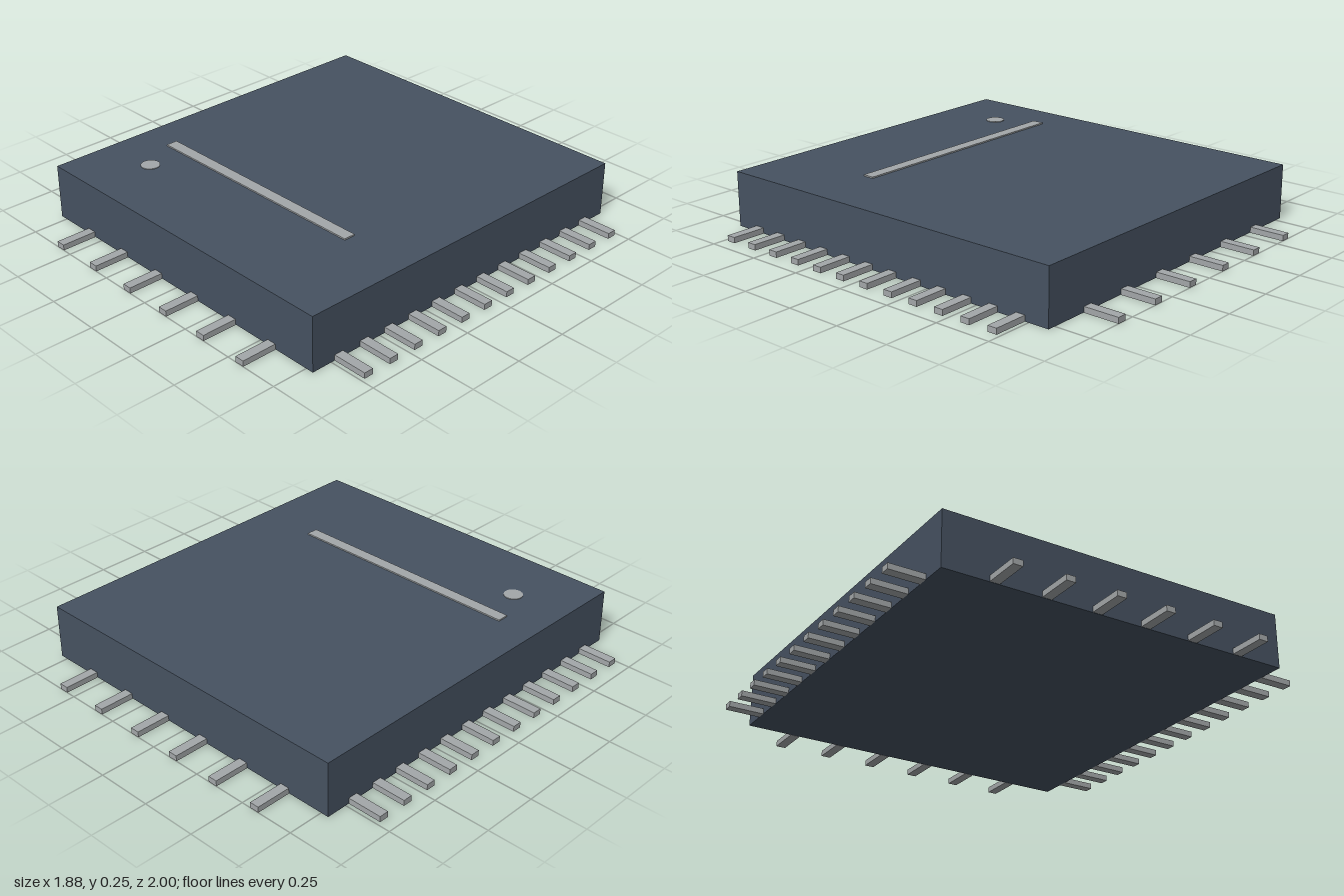
import * as THREE from 'three';

export function createModel() {
  const model = new THREE.Group();
  const casing = new THREE.MeshStandardMaterial({ name: 'slate casing', color: 0x465261 });
  const metal = new THREE.MeshStandardMaterial({ name: 'grey metal', color: 0xa3a7a9 });

  const W = 0.785, D = 0.842, H = 0.241; // half width, half depth, height of the body
  const PIN_LENGTH = 0.156, PIN_WIDTH = 0.042, PIN_HEIGHT = 0.025;

  const add = (name, geometry, material, x, y, z, parent = model) => {
    const mesh = new THREE.Mesh(geometry, material);
    mesh.name = name;
    mesh.position.set(x, y, z);
    parent.add(mesh);
    return mesh;
  };

  // Chip body
  add('body', new THREE.BoxGeometry(2 * W, H, 2 * D), casing, 0, H / 2, 0);

  // Printed stripe and first-pin dot on the top face
  add('topStripe', new THREE.BoxGeometry(1.1, 0.006, 0.052), metal, -0.065, H + 0.003, 0.367);
  add('pinOneDot', new THREE.CylinderGeometry(0.041, 0.041, 0.003, 24), metal, -0.523, H + 0.0015, 0.553);

  // Rows of flat contact pins on all four sides
  const pins = new THREE.Group();
  pins.name = 'pins';
  model.add(pins);
  const sidePin = new THREE.BoxGeometry(PIN_LENGTH, PIN_HEIGHT, PIN_WIDTH);
  const endPin = new THREE.BoxGeometry(PIN_WIDTH, PIN_HEIGHT, PIN_LENGTH);
  const y = PIN_HEIGHT / 2;
  for (const s of [-1, 1]) {
    for (let i = 0; i < 12; i++) {
      add(s > 0 ? 'leftPin' : 'rightPin', sidePin, metal, s * (0.94 - PIN_LENGTH / 2), y, (i - 5.5) * 0.1295, pins);
    }
    for (let i = 0; i < 6; i++) {
      add(s > 0 ? 'frontPin' : 'backPin', endPin, metal, (i - 2.5) * 0.2255, y, s * (1 - PIN_LENGTH / 2 - 0.0001), pins);
    }
  }
  return model;
}
